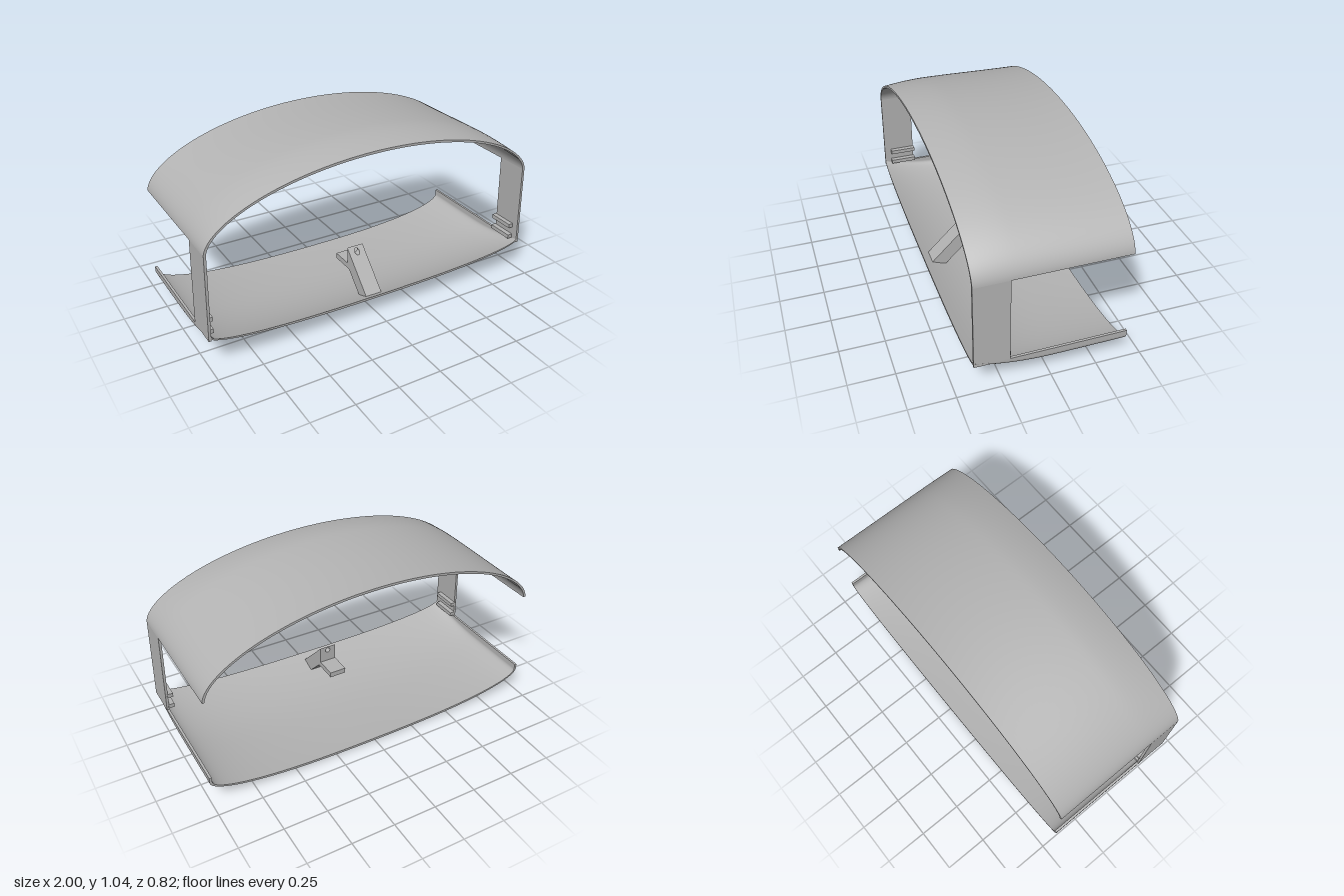
import * as THREE from 'three';

const WALL = 0.014, BACK = -0.41, FRONT = 0.41, DEPTH = FRONT - BACK;

// Surface patch from a point function over u, v in 0..1
function patch(nu, nv, fn) {
  const pos = [], idx = [];
  for (let j = 0; j <= nv; j++)
    for (let i = 0; i <= nu; i++) pos.push(...fn(i / nu, j / nv));
  for (let j = 0; j < nv; j++)
    for (let i = 0; i < nu; i++) {
      const a = j * (nu + 1) + i, b = a + 1, c = a + nu + 1, d = c + 1;
      idx.push(a, b, d, a, d, c);
    }
  const g = new THREE.BufferGeometry();
  g.setAttribute('position', new THREE.Float32BufferAttribute(pos, 3));
  g.setIndex(idx);
  g.computeVertexNormals();
  return g;
}

// Closed curved panel: p(u, v, s), s = 0 outside, s = 1 inside
function panel(name, p, nu, nv, material) {
  const group = new THREE.Group();
  group.name = name;
  const faces = {
    Outside: patch(nu, nv, (u, v) => p(u, v, 0)),
    Inside: patch(nu, nv, (u, v) => p(1 - u, v, 1)),
    FrontEdge: patch(nu, 1, (u, s) => p(u, 1, s)),
    BackEdge: patch(nu, 1, (u, s) => p(1 - u, 0, s)),
    LeftEdge: patch(nv, 1, (v, s) => p(0, v, s)),
    RightEdge: patch(nv, 1, (v, s) => p(1, 1 - v, s)),
  };
  for (const [part, geometry] of Object.entries(faces)) {
    const m = new THREE.Mesh(geometry, material);
    m.name = name + part;
    group.add(m);
  }
  return group;
}

// Arched roof, lower at its front edge
function roofPoint(u, v, s) {
  const z = BACK + DEPTH * v, a = Math.PI * u, t = (0.18 - z) / 0.59;
  const top = z > 0.18
    ? 1.037 - 0.037 * ((z - 0.18) / 0.23) ** 1.8
    : 1.037 - 0.015 * t * t * (3 - 2 * t);
  const rise = top - 0.665 - WALL * s;
  return [(0.99 - WALL * s) * Math.cos(a),
    0.665 + rise * Math.max(0, Math.sin(a)) ** 1.14, z];
}

// Shallow tray, sweeping up towards the front, with short upright sills
function trayPoint(u, v, s) {
  const z = BACK + DEPTH * v, w = 1 - WALL * s;
  const low = z > -0.15
    ? 0.108 * ((z + 0.15) / 0.56) ** 2.5
    : 0.008 * ((z + 0.15) / 0.26) ** 2;
  const side = 0.15 + 0.05 * (Math.max(0, z) / FRONT) ** 2;
  const rim = Math.max(0.18, side);
  if (u === 0) return [-w, rim, z];
  if (u === 1) return [w, rim, z];
  const a = Math.PI * THREE.MathUtils.clamp((u * 66 - 1) / 64, 0, 1);
  const c = -Math.cos(a);
  return [w * Math.sign(c) * Math.abs(c) ** 0.8,
    side - (side - low - WALL * s) * Math.sin(a), z];
}

const polygon = (points) => new THREE.Shape(points.map(([x, y]) => new THREE.Vector2(x, y)));

export function createModel() {
  const model = new THREE.Group();
  model.name = 'openShell';
  const grey = new THREE.MeshStandardMaterial({ color: 0xb4b4b4 });
  grey.name = 'plainGrey';
  const add = (name, geometry, parent = model) => {
    const m = new THREE.Mesh(geometry, grey);
    m.name = name;
    parent.add(m);
    return m;
  };

  model.add(panel('roof', roofPoint, 64, 32, grey));
  model.add(panel('tray', trayPoint, 66, 32, grey));

  // Front pillars with a pair of inner rails each
  for (const [side, k] of [['left', 1], ['right', -1]]) {
    const pillar = new THREE.ExtrudeGeometry(
      polygon([[k, 0.175], [k * 0.99, 0.665], [k * (0.99 - WALL), 0.665], [k * (1 - WALL), 0.175]]),
      { depth: 0.19, bevelEnabled: false });
    pillar.translate(0, 0, 0.22);
    add(side + 'Pillar', pillar);
    for (const [level, y] of [['lower', 0.202], ['upper', 0.274]])
      add(`${side}${level === 'lower' ? 'Lower' : 'Upper'}Rail`,
        new THREE.BoxGeometry(0.034, 0.024, 0.155).translate(k * 0.972, y, 0.2925));
  }

  // Centre bracket: shelf and slanted strut
  const bracket = new THREE.Group();
  bracket.name = 'bracket';
  model.add(bracket);
  const strut = new THREE.ExtrudeGeometry(
    polygon([[0.03, 0.18], [0.03, 0.212], [0.155, 0.212], [0.155, 0.24], [0.225, 0.24],
      [0.365, 0.1], [0.325, 0.075], [0.285, 0.07], [0.175, 0.18]]),
    { depth: 0.1, bevelEnabled: false });
  strut.translate(0, 0, -0.05).rotateY(-Math.PI / 2);
  add('shelfAndStrut', strut, bracket);

  // Wedge-shaped tab with a round hole, front face following the slope
  const outline = polygon([[-0.05, 0.24], [0.05, 0.24], [0.05, 0.31], [-0.05, 0.31]]);
  outline.holes.push(new THREE.Path().absarc(0, 0.285, 0.015, 0, Math.PI * 2, true));
  const tab = new THREE.ExtrudeGeometry(outline, { depth: 1, bevelEnabled: false, curveSegments: 24 });
  const pos = tab.attributes.position;
  for (let i = 0; i < pos.count; i++)
    pos.setZ(i, 0.155 + pos.getZ(i) * (0.31 - pos.getY(i)));
  tab.computeVertexNormals();
  add('holedTab', tab, bracket);

  return model;
}
